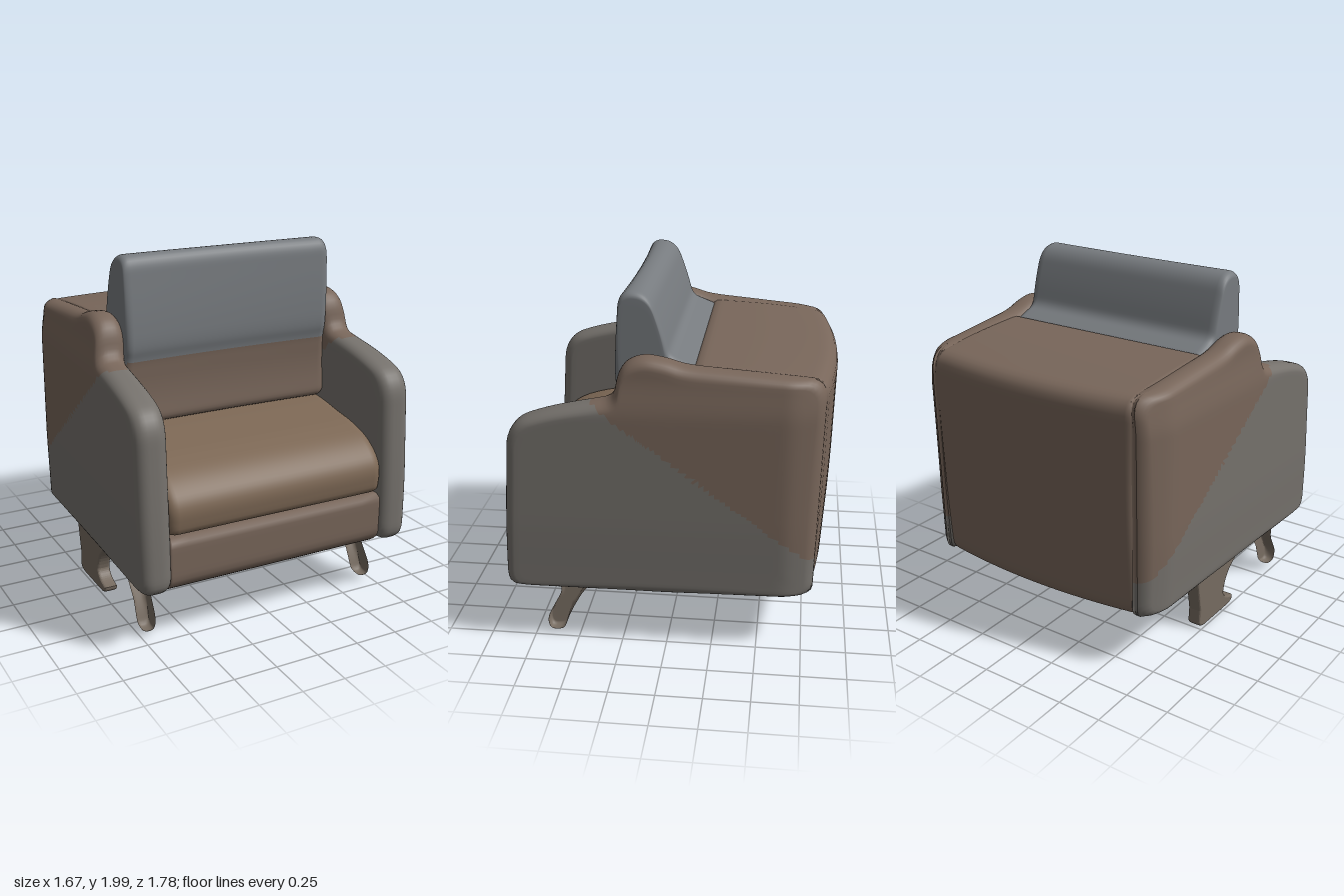
import * as THREE from 'three';

const BROWN = 0x78665a, TAUPE = 0x75716c, SLATE = 0x777b7f, SEAT = 0x7d6855, WOOD = 0x766b60;
const mat = (color) => new THREE.MeshStandardMaterial({ color });
const step = THREE.MathUtils.smoothstep;

// Rounded polygon from [z, y, cornerRadius] corners, listed counter-clockwise (z right, y up)
function outline(corners, count) {
  const shape = new THREE.Shape();
  const n = corners.length;
  corners.forEach(([z, y, r = 0.05], i) => {
    const p = new THREE.Vector2(z, y);
    const toward = (q) => {
      const d = new THREE.Vector2(q[0], q[1]).sub(p);
      return d.setLength(Math.min(r, d.length() * 0.48)).add(p);
    };
    const a = toward(corners[(i + n - 1) % n]), b = toward(corners[(i + 1) % n]);
    if (i === 0) shape.moveTo(a.x, a.y); else shape.lineTo(a.x, a.y);
    shape.quadraticCurveTo(p.x, p.y, b.x, b.y);
  });
  shape.closePath();
  const pts = shape.getSpacedPoints(count);
  pts.pop();
  return pts;
}

// Upholstered pad: a side profile swept across x from xa to xb with soft rims and closed caps.
// xa and xb are functions of (z, y); warp shifts finished points; isSecond picks the second colour.
function pad(name, corners, centre, xa, xb, o) {
  const { inset = 0.04, rim = 0.05, count = 120, capRings = 4, mid = 12, warp, colors, isSecond } = o;
  const pts = outline(corners, count);
  const n = pts.length;
  const rings = []; // [scale, inset, side blend, rim depth]
  for (let i = 0; i < capRings; i++) rings.push([i / capRings, inset, 0, 0]);
  for (let i = 0; i <= 6; i++) {
    const t = (i / 6) * Math.PI / 2;
    rings.push([1, inset * (1 - Math.sin(t)), 0, rim * (1 - Math.cos(t))]);
  }
  const far = rings.map(([s, d, , e]) => [s, d, 1, e]).reverse();
  for (let i = 1; i < mid; i++) rings.push([1, 0, i / mid, rim]);
  rings.push(...far);

  const pos = [], v = new THREE.Vector3();
  for (const [s, d, t, e] of rings) {
    for (const p of pts) {
      const dz = p.x - centre[0], dy = p.y - centre[1];
      const k = s * (1 - d / Math.hypot(dz, dy));
      const z = centre[0] + dz * k, y = centre[1] + dy * k;
      v.set(THREE.MathUtils.lerp(xa(z, y) + e, xb(z, y) - e, t), y, z);
      if (warp) warp(v);
      pos.push(v.x, v.y, v.z);
    }
  }
  const faces = [[], []];
  for (let i = 0; i < rings.length - 1; i++) {
    for (let j = 0; j < n; j++) {
      const a = i * n + j, b = i * n + (j + 1) % n, c = b + n, d = a + n;
      const y = (pos[a * 3 + 1] + pos[c * 3 + 1]) / 2, z = (pos[a * 3 + 2] + pos[c * 3 + 2]) / 2;
      faces[isSecond && isSecond(z, y) ? 1 : 0].push(a, d, c, a, c, b);
    }
  }
  const geo = new THREE.BufferGeometry();
  geo.setAttribute('position', new THREE.Float32BufferAttribute(pos, 3));
  geo.setIndex([...faces[0], ...faces[1]]);
  geo.addGroup(0, faces[0].length, 0);
  geo.addGroup(faces[0].length, faces[1].length, 1);
  geo.computeVertexNormals();
  const mesh = new THREE.Mesh(geo, colors.length > 1 ? colors.map(mat) : mat(colors[0]));
  if (colors.length === 1) geo.clearGroups();
  mesh.name = name;
  return mesh;
}

export function createModel() {
  const group = new THREE.Group();
  const flat = (x) => () => x;

  // Arms with a raised wing beside the back cushion
  const armProfile = [
    [0.8, 0.345, 0.06], [0.885, 0.36, 0.08], [0.875, 0.7, 0.2], [0.835, 1.31, 0.13],
    [0.62, 1.39, 0.15], [0.27, 1.46, 0.06], [0.24, 1.63, 0.08], [0.13, 1.69, 0.1],
    [0, 1.67, 0.06], [-0.1, 1.635, 0.1], [-0.83, 1.575, 0.1], [-0.8, 0.33, 0.06], [0, 0.325, 0.1],
  ];
  const wing = (y) => step(y, 1.36, 1.6);
  const outer = (z, y) => 0.795 + 0.035 * z - 0.025 * wing(y) - 0.06 * step(-z, 0.62, 0.86) + 0.01 * step(y, 0.3, 0.8);
  const inner = (z, y) => 0.63 + 0.025 * z - 0.015 * wing(y);
  for (const side of [1, -1]) {
    const xa = side > 0 ? inner : (z, y) => -outer(z, y);
    const xb = side > 0 ? outer : (z, y) => -inner(z, y);
    group.add(pad(side > 0 ? 'leftArm' : 'rightArm', armProfile, [0, 0.9], xa, xb, {
      inset: 0.06, rim: 0.07, count: 200, capRings: 26, mid: 2,
      colors: [BROWN, TAUPE], isSecond: (z, y) => y < 1.42 + (z - 0.36) * 0.757,
    }));
  }

  // Deep back block, bowed at the rear
  group.add(pad('backBlock', [
    [-0.12, 0.33], [-0.12, 1.62, 0.06], [-0.5, 1.605, 0.2], [-0.835, 1.565, 0.09], [-0.82, 0.9, 0.2], [-0.785, 0.33, 0.07],
  ], [-0.47, 0.95], flat(-0.66), flat(0.66), {
    inset: 0.03, rim: 0.04, mid: 24, colors: [BROWN],
    warp: (p) => { p.z -= 0.06 * step(-p.z, 0.3, 0.8) * (1 - (p.x / 0.66) ** 2); },
  }));

  // Base with front rail
  group.add(pad('baseRail', [
    [0.78, 0.32], [0.85, 0.38, 0.04], [0.85, 0.635, 0.04], [-0.7, 0.635], [-0.75, 0.315],
  ], [0.05, 0.48], flat(-0.665), flat(0.665), { inset: 0.02, rim: 0.02, colors: [BROWN] }));

  // Seat cushion, sloping down to a rounded front
  group.add(pad('seatCushion', [
    [0.85, 0.65, 0.04], [0.865, 0.82, 0.12], [0.74, 0.94, 0.1], [0.57, 0.995, 0.06],
    [0.25, 1.05, 0.1], [-0.2, 1.07], [-0.2, 0.64],
  ], [0.35, 0.82], flat(-0.665), flat(0.66), { inset: 0.05, rim: 0.06, colors: [SEAT] }));

  // Back cushion: pale upper part over a recessed brown lower part
  group.add(pad('backCushion', [
    [0.27, 1.06], [0.25, 1.25, 0.1], [0.262, 1.43, 0.04], [0.285, 1.5, 0.08], [0.28, 1.7, 0.2],
    [0.255, 2.0, 0.09], [0.1, 1.99, 0.12], [0.035, 1.82, 0.1], [-0.01, 1.66, 0.04],
    [-0.16, 1.6, 0.03], [-0.16, 1.02],
  ], [0.11, 1.5], flat(-0.63), flat(0.64), {
    inset: 0.035, rim: 0.045, count: 160, capRings: 10, mid: 20, colors: [BROWN, SLATE],
    isSecond: (z, y) => y > 1.42,
    warp: (p) => { p.z += 0.02 * step(p.z, 0.1, 0.3) * ((p.x / 0.63) ** 2 - 1); },
  }));

  // Splayed front legs
  const legProfile = [
    [0.61, 0.37, 0.03], [0.595, 0.27, 0.06], [0.69, 0.09, 0.04], [0.67, 0.025, 0.03],
    [0.59, 0.03, 0.03], [0.555, 0.13, 0.06], [0.48, 0.27, 0.06], [0.4, 0.37, 0.02],
  ];
  for (const [name, top, foot] of [['leftFrontLeg', 0.675, 0.707], ['rightFrontLeg', -0.7, -0.703]]) {
    const mid = (y) => THREE.MathUtils.lerp(foot, top, y / 0.35);
    const half = (y) => 0.033 + 0.03 * y;
    group.add(pad(name, legProfile, [0.57, 0.19],
      (z, y) => mid(y) - half(y), (z, y) => mid(y) + half(y),
      { inset: 0.02, rim: 0.03, mid: 2, count: 80, colors: [WOOD] }));
  }

  // Single hooked rear support
  const hook = new THREE.Shape();
  hook.moveTo(-0.28, 0.36);
  hook.lineTo(-0.235, 0.12);
  hook.lineTo(-0.24, 0.04);
  hook.quadraticCurveTo(-0.23, 0.015, -0.19, 0.015);
  hook.lineTo(0.08, 0.015);
  hook.quadraticCurveTo(0.12, 0.02, 0.12, 0.04);
  hook.quadraticCurveTo(0.02, 0.06, 0.01, 0.12);
  hook.quadraticCurveTo(0.03, 0.26, 0.17, 0.31);
  hook.lineTo(0.17, 0.36);
  const hookGeo = new THREE.ExtrudeGeometry(hook, {
    depth: 0.05, bevelThickness: 0.015, bevelSize: 0.01, bevelSegments: 3, curveSegments: 10,
  });
  hookGeo.rotateY(-Math.PI / 2).translate(-0.675, 0, 0);
  const support = new THREE.Mesh(hookGeo, mat(WOOD));
  support.name = 'rearSupport';
  group.add(support);

  return group;
}
